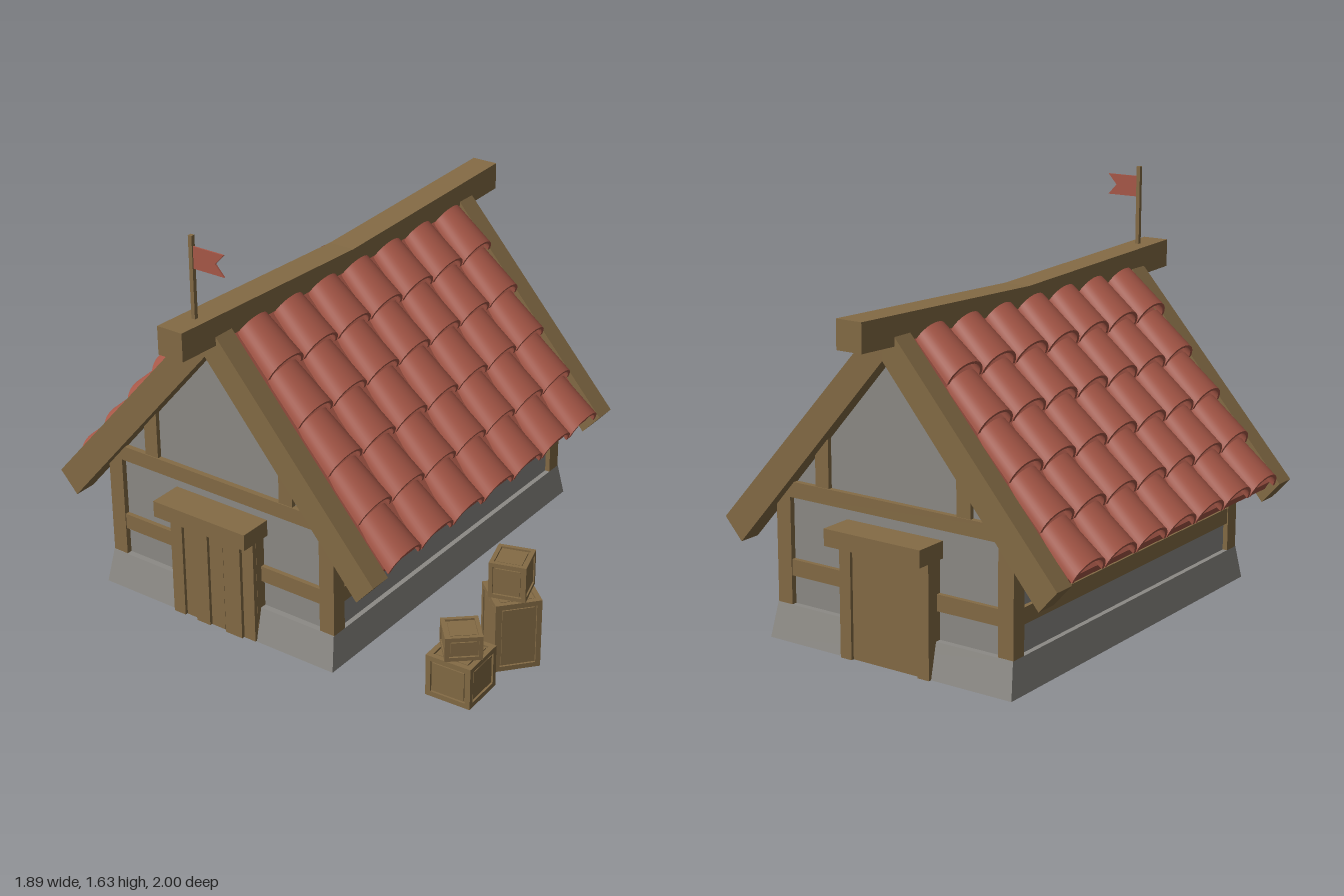
import * as THREE from 'three';
import { toCreasedNormals } from 'three/addons/utils/BufferGeometryUtils.js';

const material = (name, color) => {
  const m = new THREE.MeshStandardMaterial({ color });
  m.name = name;
  return m;
};

export function createModel() {
  const wood = material('wood', 0x846b45);
  const plaster = material('grey plaster', 0x8c8a85);
  const red = material('red clay', 0xa85848);

  const add = (parent, name, geometry, mat) => {
    const mesh = new THREE.Mesh(geometry, mat);
    mesh.name = name;
    parent.add(mesh);
    return mesh;
  };
  const group = (parent, name) => {
    const g = new THREE.Group();
    g.name = name;
    parent.add(g);
    return g;
  };
  // box given by its limits on each axis
  const box = (parent, name, [x0, x1], [y0, y1], [z0, z1], mat = wood) => {
    const g = new THREE.BoxGeometry(x1 - x0, y1 - y0, z1 - z0);
    g.translate((x0 + x1) / 2, (y0 + y1) / 2, (z0 + z1) / 2);
    return add(parent, name, g, mat);
  };
  // outline in x, y pushed from z0 to z1
  const prism = (points, z0, z1) => {
    const shape = new THREE.Shape(points.map(p => new THREE.Vector2(...p)));
    return new THREE.ExtrudeGeometry(shape, { depth: z1 - z0, bevelEnabled: false }).translate(0, 0, z0);
  };
  // move every vertex by a rule
  const deform = (geometry, rule) => {
    const p = geometry.attributes.position;
    const v = new THREE.Vector3();
    for (let i = 0; i < p.count; i++) {
      rule(v.fromBufferAttribute(p, i));
      p.setXYZ(i, v.x, v.y, v.z);
    }
    geometry.computeVertexNormals();
    return geometry;
  };

  const model = new THREE.Group();
  model.name = 'cottage';
  const house = group(model, 'house');
  house.position.x = -0.19;

  // plinth that narrows toward the top
  const plinth = deform(new THREE.BoxGeometry(1.09, 0.135, 1.63), v => {
    if (v.y > 0) { v.x *= 0.53 / 0.545; v.z *= 0.785 / 0.815; }
    v.y += 0.0825;
  });
  add(house, 'plinth', plinth, plaster);

  // walls with gables
  add(house, 'walls', prism(
    [[-0.51, 0.14], [0.51, 0.14], [0.51, 0.63], [0, 1.225], [-0.51, 0.63]], -0.76, 0.76), plaster);

  // timber frame of one gable end and one side wall, repeated by a half turn
  for (const turn of [0, Math.PI]) {
    const frame = group(house, turn ? 'backFrame' : 'frontFrame');
    frame.rotation.y = turn;
    for (const s of [-1, 1]) {
      const span = (a, b) => (s > 0 ? [a, b] : [-b, -a]);
      box(frame, 'cornerPost', span(0.465, 0.53), [0.15, 0.58], [0.717, 0.782]);
      box(frame, 'gablePost', span(0.285, 0.346), [0.62, 0.83], [0.75, 0.778]);
      box(frame, 'middleRail', span(0.19, 0.47), [0.262, 0.325], [0.75, 0.778]);
    }
    box(frame, 'tieBeam', [-0.52, 0.52], [0.565, 0.625], [0.74, 0.782]);
    box(frame, 'sideRail', [0.5, 0.526], [0.262, 0.325], [-0.72, 0.72]);

    const rafters = prism([[0, 1.145], [0.665, 0.37], [0.74, 0.455], [0, 1.3],
      [-0.74, 0.455], [-0.665, 0.37]], 0.73, 0.82);
    add(frame, 'rafters', deform(rafters, v => { v.z += 0.016 * Math.abs(v.x); }), wood);
    box(frame, 'doorLintel', [-0.214, 0.214], [0.455, 0.52], [0.75, 0.895]);
  }

  // front door of uneven planks
  const door = group(house, 'frontDoor');
  box(door, 'doorBacking', [-0.19, 0.195], [0.02, 0.455], [0.75, 0.805]);
  const edges = [-0.195, -0.135, -0.082, -0.012, 0.058, 0.142, 0.2];
  const depths = [0.828, 0.822, 0.83, 0.824, 0.83, 0.823];
  depths.forEach((d, i) => box(door, 'doorPlank',
    [edges[i], edges[i + 1] - 0.006], [0.015 + (i % 2) * 0.004, 0.456], [0.78, d]));

  // back door between two jambs
  const backDoor = group(house, 'backDoor');
  box(backDoor, 'doorPanel', [-0.16, 0.16], [0.015, 0.456], [-0.815, -0.75]);
  box(backDoor, 'doorJamb', [-0.2, -0.15], [0.015, 0.456], [-0.828, -0.75]);
  box(backDoor, 'doorJamb', [0.15, 0.2], [0.015, 0.456], [-0.828, -0.75]);

  // barrel tile: half ring stretched between a wide low end and a narrow high end
  const arch = new THREE.Shape();
  arch.absarc(0, 0, 1, 0, Math.PI, false);
  arch.absarc(0, 0, 0.86, Math.PI, 0, true);
  const lerp = THREE.MathUtils.lerp;
  const tileGeometry = toCreasedNormals(deform(
    new THREE.ExtrudeGeometry(arch, { depth: 1, bevelEnabled: false, curveSegments: 10 }), v => {
      const { x: u, y: h, z: t } = v;
      v.set(lerp(0, -0.15, t) + h * lerp(0.03, 0.035, t),
        lerp(0, 0.135, t) + h * lerp(0.066, 0.056, t),
        u * lerp(0.101, 0.08, t));
    }), 0.6);

  // roof slopes
  for (const turn of [0, Math.PI]) {
    const slope = group(house, turn ? 'rightRoof' : 'leftRoof');
    slope.rotation.y = turn;
    add(slope, 'roofBoard', prism([[0, 1.22], [0.68, 0.428], [0.7, 0.46], [0, 1.275]], -0.735, 0.735), red);
    for (let row = 0; row < 5; row++) {
      for (let col = -3; col <= 3; col++) {
        add(slope, 'roofTile', tileGeometry, red)
          .position.set(0.727 - 0.13 * row, 0.455 + 0.154 * row, col * 0.2075);
      }
    }
  }

  // ridge beam sagging in the middle
  const ridge = deform(new THREE.BoxGeometry(0.11, 0.11, 2, 1, 1, 2).toNonIndexed(), v => {
    v.y += 1.265 - 0.035 * (1 - Math.abs(v.z));
  });
  add(house, 'ridgeBeam', ridge, wood);

  // flag
  box(house, 'flagPole', [-0.003, 0.013], [1.3, 1.63], [0.862, 0.878]);
  add(house, 'flag', prism(
    [[0.01, 1.507], [0.148, 1.507], [0.11, 1.548], [0.148, 1.59], [0.01, 1.59]], 0.867, 0.873), red);

  // crate: sunken core, twelve edge bars and a raised panel on each face
  const crate = (x, y, z, w, h, turn) => {
    const g = group(model, 'crate');
    g.position.set(x, y + h / 2, z);
    g.rotation.y = turn;
    const b = w * 0.11, inset = 0.008;
    const block = (name, sx, sy, sz, px = 0, py = 0, pz = 0) =>
      add(g, name, new THREE.BoxGeometry(sx, sy, sz), wood).position.set(px, py, pz);
    block('crateCore', w - 2 * inset, h - 2 * inset, w - 2 * inset);
    const e = (w - b) / 2, f = (h - b) / 2, m = w - 2 * b;
    for (const s of [-1, 1]) {
      for (const t of [-1, 1]) {
        block('crateUpright', b, h, b, s * e, 0, t * e);
        block('crateRail', m, b, b, 0, s * f, t * e);
        block('crateRail', b, b, m, s * e, t * f, 0);
      }
    }
    const p = m - 0.014, q = h - 2 * b - 0.014, r = 0.006;
    block('cratePanel', p, q, w - r);
    block('cratePanel', w - r, q, p);
    block('cratePanel', p, h - r, p);
  };
  crate(0.783, 0.003, 0.618, 0.185, 0.17, 0.05);
  crate(0.783, 0.173, 0.618, 0.138, 0.097, 0.72);
  crate(0.816, 0.005, 0.335, 0.176, 0.283, -0.71);
  crate(0.812, 0.288, 0.333, 0.14, 0.145, 0.3);

  return model;
}
